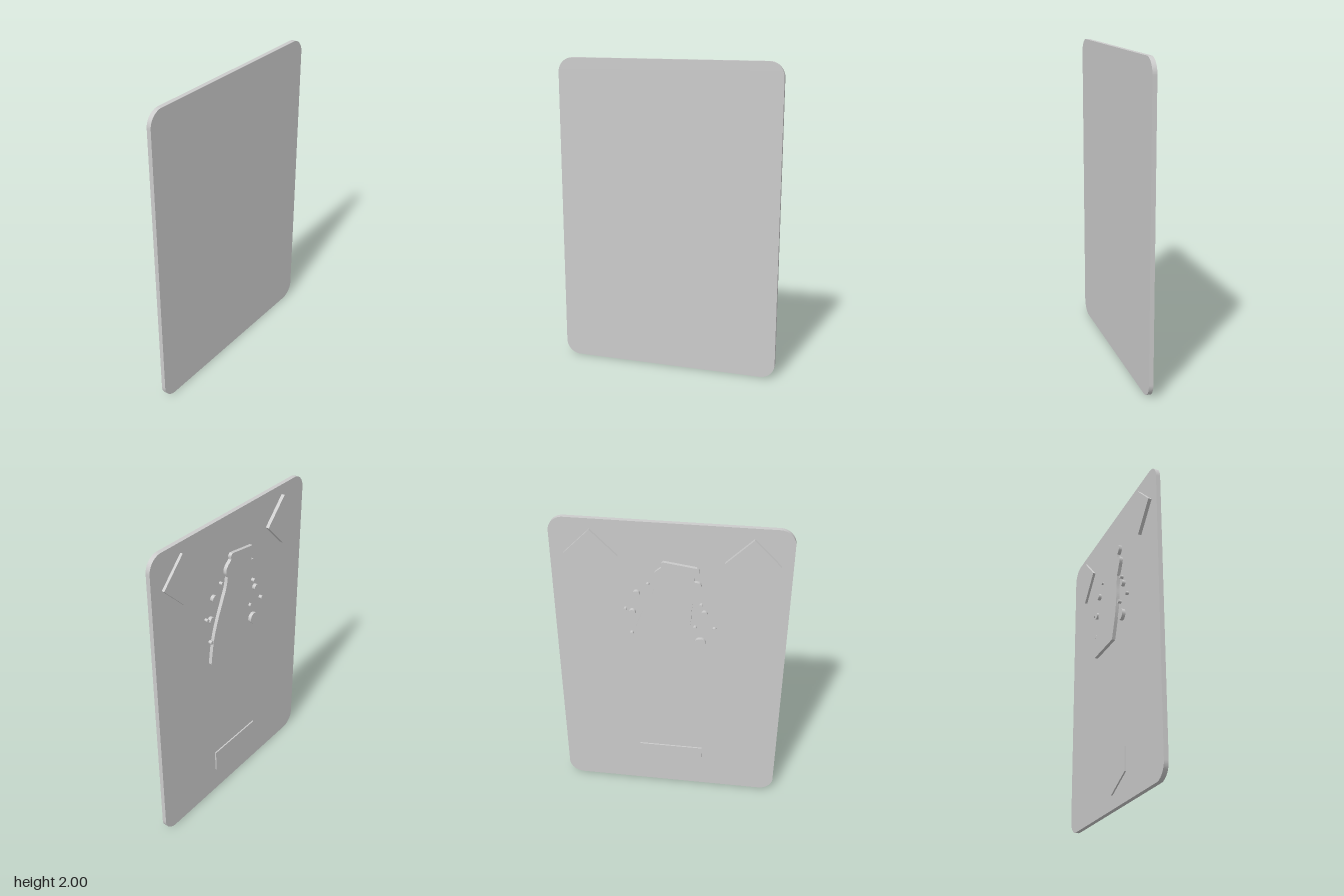
import * as THREE from 'three';

const material = new THREE.MeshStandardMaterial({ color: 0xcccccc });
const FRONT = 0.025, BACK = -0.003; // faces of the board

// Extrude a flat outline between two depths
function slab(name, shape, zMin, zMax, curveSegments = 12) {
  const geometry = new THREE.ExtrudeGeometry(shape, { depth: zMax - zMin, bevelEnabled: false, curveSegments });
  geometry.translate(0, 0, zMin);
  const mesh = new THREE.Mesh(geometry, material);
  mesh.name = name;
  return mesh;
}

const polygon = (points) => new THREE.Shape(points.map(([x, y]) => new THREE.Vector2(x, y)));

function roundedRect(w, h, r) {
  const s = new THREE.Shape();
  s.absarc(w - r, h - r, r, 0, Math.PI / 2);
  s.absarc(r - w, h - r, r, Math.PI / 2, Math.PI);
  s.absarc(r - w, r, r, Math.PI, Math.PI * 1.5);
  s.absarc(w - r, r, r, Math.PI * 1.5, Math.PI * 2);
  s.closePath();
  return s;
}

// Leaning bottle: flat base, curved flanks, pinched neck and lip
function bottleShape() {
  const v = (p) => p.map(([x, y]) => new THREE.Vector2(x, y));
  const s = new THREE.Shape();
  s.moveTo(0.25, 1.085);
  s.splineThru(v([[0.224, 1.24], [0.182, 1.367], [0.133, 1.476], [0.098, 1.556], [0.084, 1.618]]));
  s.splineThru(v([[0.098, 1.651], [0.089, 1.685], [0.05, 1.72]]));
  s.splineThru(v([[0.051, 1.745], [0.038, 1.758]]));
  s.lineTo(-0.16, 1.73);
  s.splineThru(v([[-0.176, 1.715], [-0.174, 1.686], [-0.148, 1.663]]));
  s.lineTo(-0.148, 1.638);
  s.splineThru(v([[-0.18, 1.63], [-0.19, 1.601], [-0.169, 1.557], [-0.143, 1.505]]));
  s.splineThru(v([[-0.134, 1.433], [-0.13, 1.356], [-0.108, 1.235], [-0.056, 1.085]]));
  s.closePath();
  return s;
}

export function createModel() {
  const model = new THREE.Group();
  model.name = 'reliefBoard';

  model.add(slab('board', roundedRect(0.717, 2, 0.095), BACK, FRONT, 10));

  // Square pads turned on their corners
  for (const [name, x, z] of [['leftPad', 0.47, -0.02], ['rightPad', -0.485, -0.025]]) {
    const y = 1.775, d = 0.162;
    model.add(slab(name, polygon([[x + d, y], [x, y + d], [x - d, y], [x, y - d]]), z, BACK));
  }

  model.add(slab('bottle', bottleShape(), -0.025, BACK, 5));

  // Pointed plaque near the bottom
  model.add(slab('plaque', polygon([[0.203, 0.325], [-0.218, 0.325], [-0.218, 0.176], [-0.01, 0.085], [0.203, 0.176]]), -0.012, BACK));

  // Round droplets beside the bottle: x, y, radius
  const droplets = new THREE.Group();
  droplets.name = 'droplets';
  const spots = [
    [0.133, 1.597, 0.01], [0.203, 1.527, 0.022], [0.273, 1.412, 0.01], [0.231, 1.392, 0.022], [0.238, 1.238, 0.012],
    [-0.19, 1.473, 0.012], [-0.211, 1.415, 0.02], [-0.155, 1.31, 0.012], [-0.274, 1.311, 0.012], [-0.19, 1.2, 0.037],
  ];
  for (const [x, y, r] of spots) {
    const depth = BACK + 0.025;
    const drop = new THREE.Mesh(new THREE.CylinderGeometry(r, r, depth, 20).rotateX(Math.PI / 2), material);
    drop.position.set(x, y, BACK - depth / 2);
    drop.name = 'droplet';
    droplets.add(drop);
  }
  model.add(droplets);

  return model;
}
